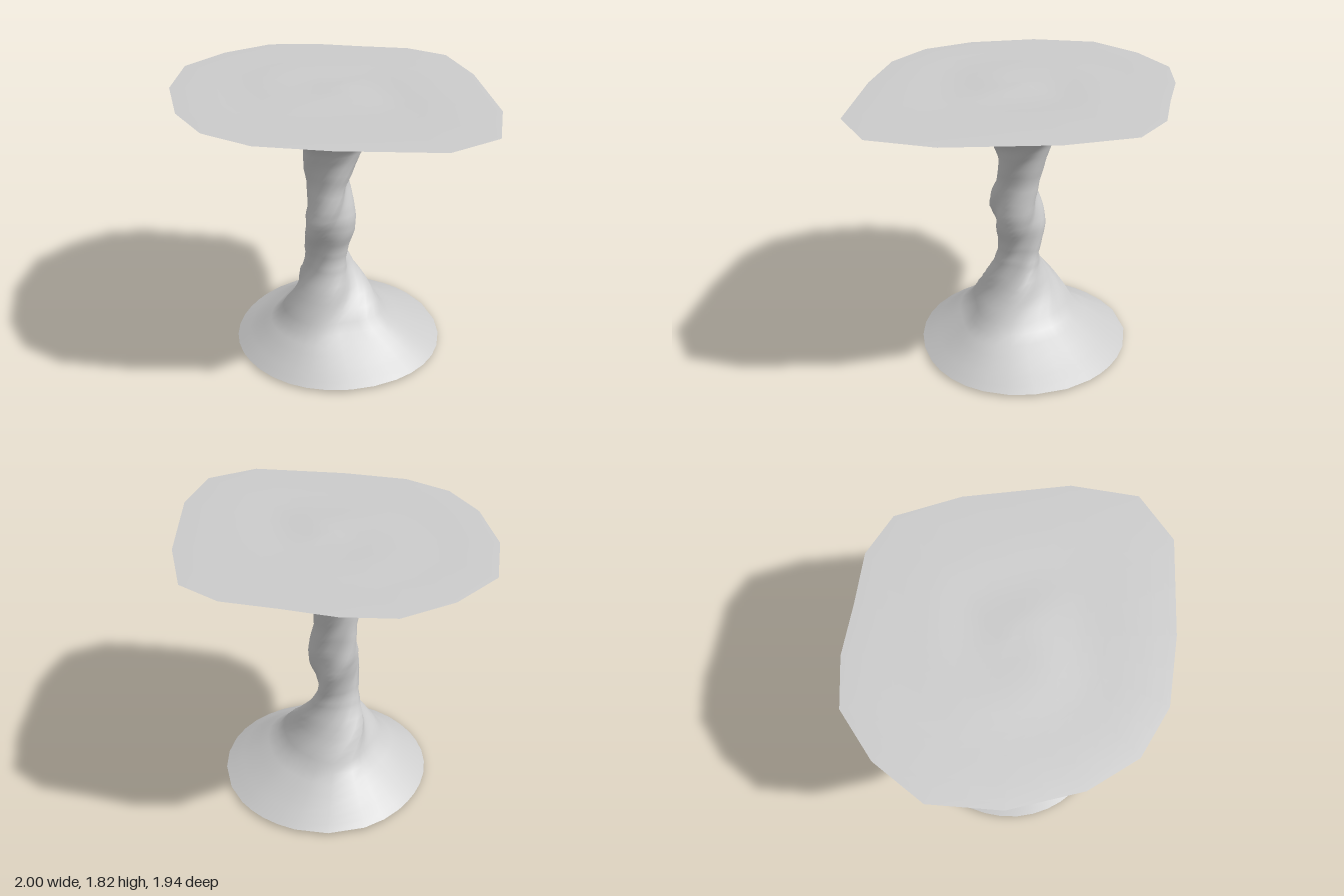
import * as THREE from 'three';

const { lerp, smoothstep } = THREE.MathUtils;

// Irregular tabletop outline [x, z]
const OUTLINE = [
  [-0.42, -0.96], [-0.10, -0.97], [0.22, -0.91], [0.55, -0.86],
  [0.80, -0.70], [0.93, -0.29], [1.0, 0.37], [0.92, 0.78],
  [0.62, 0.97], [0.0, 0.94], [-0.43, 0.87], [-0.72, 0.69],
  [-0.90, 0.39], [-1.0, -0.05], [-0.96, -0.48], [-0.72, -0.77],
];
// Halve each outline edge so the stem is smoother
const RIM = OUTLINE.flatMap(([x, z], i) => {
  const [nx, nz] = OUTLINE[(i + 1) % OUTLINE.length];
  return [[x, z], [(x + nx) / 2, (z + nz) / 2]];
});

// Stem cross-sections: [y, radius, centre x, centre z, tabletop shape 0..1, flute depth]
const STEM = [
  [0.015, 0.705, 0.055, -0.03, 0, 0.01],
  [0.10, 0.56, 0.04, -0.015, 0, 0.03],
  [0.22, 0.375, 0.02, 0, 0, 0.07],
  [0.40, 0.25, 0, 0, 0, 0.10],
  [0.55, 0.162, -0.01, 0, 0, 0.12],
  [0.65, 0.135, -0.015, 0, 0, 0.13],
  [0.75, 0.14, -0.015, 0, 0, 0.13],
  [0.85, 0.162, -0.01, 0.01, 0, 0.12],
  [0.95, 0.167, -0.01, 0.02, 0, 0.12],
  [1.05, 0.15, -0.005, 0.02, 0, 0.13],
  [1.18, 0.132, -0.005, 0, 0, 0.13],
  [1.33, 0.155, 0, -0.01, 0, 0.12],
  [1.46, 0.20, 0.01, -0.015, 0.15, 0.08],
  [1.56, 0.29, 0.015, -0.01, 0.5, 0.04],
  [1.68, 0.53, 0.01, 0, 0.9, 0.01],
  [1.785, 0.93, 0, 0, 1, 0],
  [1.81, 1.0, 0, 0, 1, 0],
];

// Flutes wind around the stem, fading out towards foot and tabletop
const twist = (y) => 3.8 * (1.5 - THREE.MathUtils.clamp(y, 0.3, 1.5));

function ring([y, r, cx, cz, shape, flute]) {
  return RIM.map(([x, z]) => {
    const a = Math.atan2(z, x);
    const t = a + twist(y);
    const rr = r * (1 + flute * Math.cos(3 * a) + flute * 0.35 * Math.cos(5 * a + 1));
    // full twist offset is carried by every ring; the tabletop end has none
    return [
      cx + lerp(rr * Math.cos(t), r * x, shape), y,
      cz + lerp(rr * Math.sin(t), r * z, shape),
    ];
  });
}

// Skin consecutive rings, listed so that the outside faces outwards
function loft(name, rings) {
  const n = RIM.length, index = [];
  for (let j = 0; j < rings.length - 1; j++) {
    for (let i = 0; i < n; i++) {
      const a = j * n + i, b = j * n + (i + 1) % n;
      index.push(a, a + n, b, b, a + n, b + n);
    }
  }
  const geo = new THREE.BufferGeometry();
  geo.setAttribute('position', new THREE.Float32BufferAttribute(rings.flat(2), 3));
  geo.setIndex(index);
  geo.computeVertexNormals();
  const mesh = new THREE.Mesh(geo, new THREE.MeshStandardMaterial({ color: 0xcccccc, side: THREE.DoubleSide }));
  mesh.name = name;
  return mesh;
}

export function createModel() {
  const group = new THREE.Group();
  group.name = 'twistedPedestalTable';

  // Twisted stem flaring into foot and tabletop
  const sections = [];
  for (let k = 0; k < STEM.length - 1; k++) {
    for (let s = 0; s < 3; s++) {
      sections.push(STEM[k].map((v, c) => lerp(v, STEM[k + 1][c], s / 3)));
    }
  }
  sections.push(STEM.at(-1));
  group.add(loft('stem', sections.map(ring)));

  // Tabletop with a soft edge and a faint swirl in the middle
  const scales = [1, 0.96, 0.85, 0.7, 0.58, 0.46, 0.36, 0.26, 0.16, 0.08, 0.001];
  group.add(loft('tabletop', scales.map((s) => RIM.map(([x, z]) => {
    const a = Math.atan2(z, x);
    const swirl = 0.005 * Math.cos(a - 9 * s) * smoothstep(s, 0, 0.15) * (1 - smoothstep(s, 0.45, 0.8));
    const bump = 0.008 * (1 - smoothstep(s, 0, 0.35));
    return [x * s, 1.81 + 0.005 * (1 - smoothstep(s, 0.9, 1)) + swirl + bump, z * s];
  }))));

  // Underside of the foot
  const foot = [[0, 0.001], [0, 0.35], [0, 0.67], [0.015, 0.705]];
  group.add(loft('footUnderside', foot.map(([y, r]) => ring([y, r, 0.055, -0.03, 0, 0.01]))));

  return group;
}
